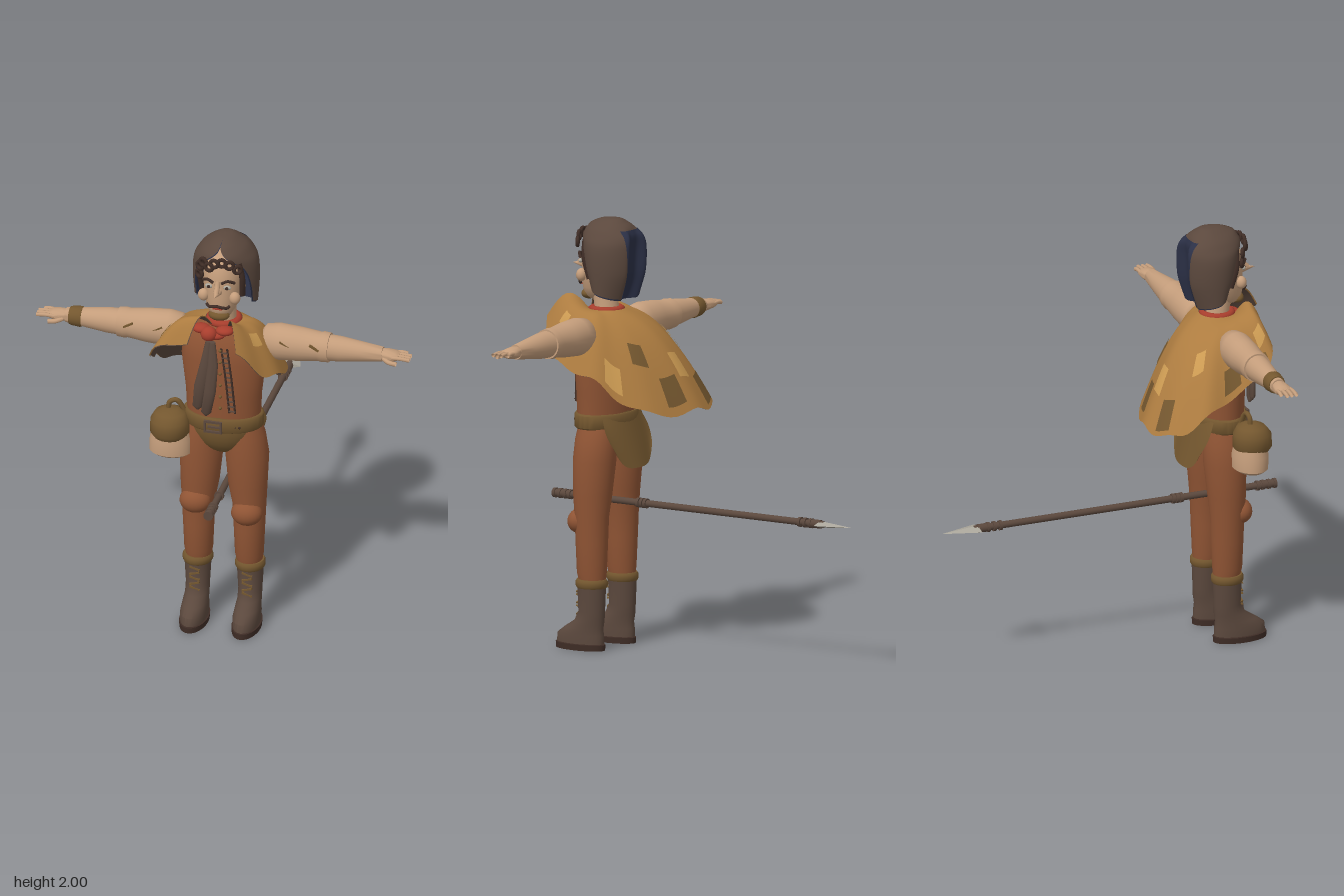
import * as THREE from 'three';
import { toCreasedNormals } from 'three/addons/utils/BufferGeometryUtils.js';

const V = (x, y, z) => new THREE.Vector3(x, y, z);
const mat = (name, color) => {
  const m = new THREE.MeshStandardMaterial({ color, side: THREE.DoubleSide });
  m.name = name;
  return m;
};

// Stack of elliptical rings [y, cx, cz, rx, rz], closed at both ends, listed upward
function loft(rings, seg = 24) {
  const f = rings[0], l = rings[rings.length - 1];
  const all = [[f[0], f[1], f[2], 0, 0], ...rings, [l[0], l[1], l[2], 0, 0]];
  const pos = [], idx = [];
  all.forEach(([y, cx, cz, rx, rz], i) => {
    for (let j = 0; j < seg; j++) {
      const a = (j / seg) * Math.PI * 2;
      pos.push(cx + rx * Math.cos(a), y, cz + rz * Math.sin(a));
      if (i === all.length - 1) continue;
      const p = i * seg + j, q = i * seg + ((j + 1) % seg);
      idx.push(p, p + seg, q, q, p + seg, q + seg);
    }
  });
  const g = new THREE.BufferGeometry();
  g.setAttribute('position', new THREE.Float32BufferAttribute(pos, 3));
  g.setIndex(idx);
  return toCreasedNormals(g, 0.8);
}

// Open sheet sampled from fn(u, v)
function sheet(fn, nu, nv, u0 = 0, u1 = 1, v0 = 0, v1 = 1) {
  const pos = [], idx = [];
  for (let j = 0; j <= nv; j++) for (let i = 0; i <= nu; i++) {
    pos.push(...fn(u0 + (u1 - u0) * i / nu, v0 + (v1 - v0) * j / nv).toArray());
    if (i < nu && j < nv) {
      const a = j * (nu + 1) + i, b = a + nu + 1;
      idx.push(a, a + 1, b, a + 1, b + 1, b);
    }
  }
  const g = new THREE.BufferGeometry();
  g.setAttribute('position', new THREE.Float32BufferAttribute(pos, 3));
  g.setIndex(idx);
  g.computeVertexNormals();
  return g;
}

export function createModel() {
  const root = new THREE.Group();
  const skin = mat('skin', 0xc49d7b), rust = mat('rust leather', 0x8f5434), dark = mat('dark brown', 0x5b483d),
    gold = mat('cape gold', 0xad7c40), light = mat('light patch', 0xcb9a52), olive = mat('olive brown', 0x74572f),
    red = mat('red cloth', 0xa83e2d), navy = mat('navy lining', 0x2b3046), steel = mat('steel', 0xaaa69b),
    hair = mat('hair', 0x3f2d26);
  const add = (name, geo, m, x = 0, y = 0, z = 0) => {
    const mesh = new THREE.Mesh(geo, m);
    mesh.name = name;
    mesh.position.set(x, y, z);
    root.add(mesh);
    return mesh;
  };
  const ball = (name, m, x, y, z, rx, ry = rx, rz = rx) =>
    add(name, new THREE.SphereGeometry(1, 24, 16), m, x, y, z).scale.set(rx, ry, rz);
  const box = (name, m, x, y, z, w, h, d) => add(name, new THREE.BoxGeometry(w, h, d), m, x, y, z);
  const tube = (name, m, pts, r) =>
    add(name, new THREE.TubeGeometry(new THREE.CatmullRomCurve3(pts.map(p => V(...p))), 20, r, 8), m);

  for (const s of [-1, 1]) {
    // Legs and boots
    add('leg', loft([[.3, .12, .535, .055, .06], [.36, .12, .54, .066, .07], [.5, .12, .54, .072, .076],
      [.62, .12, .54, .078, .08], [.72, .113, .54, .09, .09], [.88, .108, .533, .101, .1],
      [.98, .1, .53, .092, .098], [1.04, .09, .53, .08, .09]].map(r => [r[0], s * r[1], ...r.slice(2)])), rust);
    ball('kneePad', rust, s * .122, s > 0 ? .595 : .63, .597, .073, .06, .06);
    const bx = s * .124;
    add('boot', loft([[.03, bx, .6, .061, .125], [.07, bx, .598, .062, .122], [.1, bx, .58, .058, .1],
      [.135, bx, .55, .055, .075], [.18, bx, .538, .055, .064], [.3, bx, .538, .062, .068]]), dark);
    add('sole', loft([[0, bx, .6, .064, .13], [.027, bx, .6, .066, .131]]), hair);
    add('bootCuff', loft([[.29, bx, .538, .064, .07], [.3, bx, .538, .07, .076], [.32, bx, .538, .07, .076],
      [.33, bx, .538, .064, .07]]), olive);
    for (let i = 0; i < 5; i++)
      box('bootLace', olive, bx, .17 + i * .026, .602, .05, .008, .012).rotation.z = i % 2 ? .3 : -.3;

    // Arms, built upright then laid out sideways
    const limb = (name, m, rings) => {
      const mesh = add(name, loft(rings.map(([t, ry, rz]) => [t, 0, 0, ry, rz])), m, 0, 1.477, .53);
      mesh.rotation.z = -s * Math.PI / 2;
      return mesh;
    };
    limb('sleeve', skin, [[.185, .06, .055], [.2, .079, .07], [.26, .088, .079], [.36, .081, .075], [.45, .069, .067],
      [.47, .072, .07], [.5, .069, .067]]);
    limb('forearm', skin, [[.49, .062, .06], [.55, .06, .057], [.65, .047, .046], [.75, .034, .034]]);
    limb('palm', skin, [[.74, .027, .03], [.77, .028, .039], [.81, .022, .041], [.83, .012, .036]]);
    if (s < 0) limb('bracelet', olive, [[.672, .046, .045], [.68, .049, .048], [.72, .045, .044], [.732, .041, .04]]);
    for (let i = 0; i < 4; i++)
      tube('finger', skin, [[s * .8, 1.48, .5 + i * .021], [s * .84, 1.482, .498 + i * .022],
        [s * (i === 0 ? .86 : .883), 1.478, .497 + i * .022]], .0095);
    tube('thumb', skin, [[s * .76, 1.47, .56], [s * .79, 1.463, .578], [s * .825, 1.46, .582]], .011);
    for (const x of [.3, .44]) box('sleeveCrease', olive, s * x, 1.5, .598, .05, .007, .014).rotation.z = -s * .5;

    // Paired face parts
    ball('cheek', skin, s * .074, 1.73, .63, .026, .03, .024);
    ball('eye', steel, s * .043, 1.79, .65, .019, .011, .01);
    ball('pupil', hair, s * .043, 1.79, .658, .008, .008, .005);
    tube('eyebrow', hair, [[s * .02, 1.815, .664], [s * .045, 1.828, .66], [s * .075, 1.812, .636]], .007);
    ball('ear', skin, s * .092, 1.76, .56, .015, .032, .022);
    tube('moustache', hair, [[0, 1.698, .672], [s * .025, 1.693, .67], [s * .045, 1.687, .655], [s * .055, 1.696, .648]], .007);
    tube('sideburn', hair, [[s * .085, 1.9, .6], [s * .1, 1.82, .595], [s * .094, 1.72, .57]], .014);
  }

  // Trunk
  add('torso', loft([[1.07, 0, .54, .172, .112], [1.2, 0, .54, .178, .117], [1.38, 0, .54, .199, .12],
    [1.46, 0, .54, .19, .113], [1.53, 0, .54, .14, .09], [1.57, 0, .54, .07, .065]], 32), rust);
  ball('trunks', olive, 0, 1.045, .54, .163, .165, .122);
  add('belt', loft([[1.03, 0, .54, .18, .12], [1.037, 0, .54, .187, .125], [1.093, 0, .54, .187, .125],
    [1.1, 0, .54, .18, .12]], 32), olive);
  for (const [x, y, w, h] of [[-.02, 1.087, .08, .01], [-.02, 1.037, .08, .01], [-.058, 1.062, .01, .06],
    [.018, 1.062, .01, .06], [-.015, 1.062, .06, .008]]) box('buckle', dark, x, y, .668, w, h, .012);
  for (const x of [.06, .08, .1]) ball('beltHole', hair, x, 1.062, .647, .006);
  for (let i = 0; i < 6; i++) ball('button', olive, .012, 1.16 + i * .06, .658, .008);
  for (const d of [-.014, .014])
    tube('lacing', hair, [[.03 + d, 1.47, .655], [.052 + d, 1.32, .662], [.068 + d, 1.14, .655]], .005);
  for (let i = 0; i < 13; i++) box('laceRung', dark, .068 - i * .0029, 1.15 + i * .025, .659, .032, .005, .008);
  add('backFlap', sheet((u, v) => {
    const a = (u - .5) * 2, w = .15 + .02 * Math.sin(v * Math.PI);
    return V(a * w, 1.09 - v * (.24 - .09 * a * a * a * a), .425 - v * .07 + a * a * .035);
  }, 16, 8), olive);

  // Belt pouch
  add('pouch', loft([[.87, -.235, .605, .08, .06], [.885, -.235, .605, .1, .08], [.95, -.235, .605, .098, .083],
    [1.02, -.235, .605, .08, .065]]), skin);
  add('pouchFlap', loft([[.965, -.237, .615, .075, .075], [.99, -.237, .615, .092, .092], [1.05, -.237, .615, .09, .088],
    [1.085, -.237, .61, .07, .065], [1.1, -.237, .605, .035, .03]]), olive);
  tube('pouchStrap', olive, [[-.25, 1.08, .6], [-.24, 1.13, .6], [-.21, 1.14, .595], [-.17, 1.07, .58]], .012);

  // Neck, collar and scarf
  add('neck', loft([[1.53, 0, .535, .066, .062], [1.58, 0, .54, .058, .056], [1.67, 0, .55, .058, .058]]), skin);
  const collar = add('collar', new THREE.TorusGeometry(.066, .018, 10, 28), red, 0, 1.57, .54);
  collar.rotation.x = Math.PI / 2;
  ball('scarfKnot', red, -.045, 1.535, .645, .038, .036, .035);
  for (const [x, y] of [[-.085, 1.55], [.025, 1.55], [-.015, 1.525]]) ball('scarfFold', red, x, y, .625, .042, .022, .035);
  add('scarfTail', loft([[1.15, -.09, .675, .006, .005], [1.17, -.09, .677, .024, .012], [1.28, -.075, .683, .03, .014],
    [1.4, -.05, .685, .026, .014], [1.51, -.04, .67, .014, .012]], 14), dark);
  add('scarfTail', loft([[1.125, -.05, .68, .006, .005], [1.145, -.048, .684, .024, .013], [1.26, -.028, .69, .028, .014],
    [1.4, -.015, .69, .025, .014], [1.51, -.02, .675, .014, .012]], 14), dark);

  // Cape: sheet between the neckline and a lopsided hem
  const hem = new THREE.CatmullRomCurve3([[.12, 1.53, .79], [.22, 1.4, .72], [.28, 1.34, .6], [.28, 1.3, .45], [.22, 1.2, .33],
    [.1, 1.12, .2], [-.08, 1.12, .13], [-.22, 1.12, .125], [-.34, 1.13, .19], [-.385, 1.2, .3], [-.36, 1.28, .45],
    [-.34, 1.35, .6], [-.3, 1.44, .69], [-.13, 1.52, .72]].map(p => V(...p)));
  const cape = off => (u, v) => {
    const a = .45 + u * (Math.PI * 2 - .9);
    const p = V(.085 * Math.sin(a), 1.575, .54 + .085 * Math.cos(a)).lerp(hem.getPoint(u), v);
    p.y += .085 * Math.sin(Math.PI * v) + .012 * v * v * Math.sin(u * 55);
    return p.addScaledVector(p.clone().sub(V(0, 1.2, .5)).normalize(), off);
  };
  add('cape', sheet(cape(0), 72, 16), gold);
  add('capeLining', sheet(cape(-.007), 72, 16), dark);
  for (const [u, v, m] of [[.1, .6, light], [.2, .7, olive], [.3, .85, light], [.38, .6, olive], [.44, .85, olive],
    [.5, .7, light], [.57, .88, olive], [.66, .55, light], [.78, .85, olive], [.9, .7, light]])
    add('capePatch', sheet(cape(.005), 8, 6, u - .022, u + .022, v - .09, v + .09), m);

  // Head
  add('head', loft([[1.615, 0, .6, .025, .03], [1.63, 0, .59, .05, .06], [1.67, 0, .575, .072, .085], [1.73, 0, .56, .086, .1],
    [1.8, 0, .555, .091, .105], [1.87, 0, .55, .088, .1], [1.92, 0, .545, .065, .075], [1.94, 0, .54, .03, .035]], 28), skin);
  const nose = add('nose', new THREE.ConeGeometry(.025, .085, 14), skin, 0, 1.768, .686);
  nose.rotation.x = Math.PI / 2;
  tube('noseBridge', skin, [[0, 1.82, .655], [0, 1.795, .668], [0, 1.772, .69]], .013);
  ball('chinBeard', olive, 0, 1.635, .632, .05, .026, .035);
  box('mouth', red, 0, 1.68, .661, .045, .008, .008);
  for (const [x, y, z] of [[-.09, 1.88, .63], [-.07, 1.91, .65], [-.04, 1.895, .664], [-.015, 1.915, .665], [.02, 1.92, .66],
    [.055, 1.91, .655], [.09, 1.885, .64], [-.095, 1.835, .625]])
    add('curl', new THREE.TorusGeometry(.018, .009, 8, 16), hair, x, y, z).rotation.y = x * 6;

  // Hood: rows of y, half width, opening angle, back z, front z
  const rows = [[1.63, .148, 2, .4, .53], [1.75, .155, 2.1, .36, .56], [1.85, .152, 2.3, .354, .59],
    [1.92, .125, 2.75, .365, .635], [1.97, .078, 3.1, .42, .62], [1.995, .035, 3.14, .46, .56], [2, 0, 3.14, .5, .5]];
  const shape = new THREE.CatmullRomCurve3(rows.map(r => V(r[0], r[1], r[2])));
  const depth = new THREE.CatmullRomCurve3(rows.map(r => V(r[3], r[4], 0)));
  const hood = (scale, off) => (u, v) => {
    const s = shape.getPoint(v), d = depth.getPoint(v);
    const a = (u * 2 - 1) * s.z, c = Math.cos(a);
    let z = c > 0 ? .5 - (.5 - d.x) * c : .5 + (d.y - .5) * c / Math.cos(s.z);
    z += .05 * Math.exp(-((a / .36) ** 4)) * Math.max(0, 1 - (v / .62) ** 4) - off;
    return V(s.y * scale * Math.sin(a), s.x - (1 - scale) * .15 + .03 * (1 - v) ** 4 * (1 - c), .5 + (z - .5) * scale);
  };
  add('hood', sheet(hood(1, 0), 60, 30), dark);
  add('hoodLining', sheet(hood(.95, 0), 60, 30), navy);
  add('hoodBackPanel', sheet(hood(1, .004), 20, 20, .38, .62, 0, .6), navy);

  // Spear lying front to back
  const rod = (name, m, z, len, r) => {
    add(name, new THREE.CylinderGeometry(r, r, len, 16), m, 0, .685, z).rotation.x = Math.PI / 2;
  };
  rod('spearShaft', dark, .07, 1.48, .016);
  rod('spearButt', dark, .79, .08, .019);
  for (const z of [.825, .795, .765, .74, .63, .36, .34, .32, -.54, -.57, -.6]) rod('spearRing', dark, z, .014, .023);
  rod('spearSocket', dark, -.63, .05, .02);
  const tip = add('spearTip', toCreasedNormals(new THREE.ConeGeometry(.055, .18, 4), .1), steel, 0, .685, -.74);
  tip.rotation.x = -Math.PI / 2;
  tip.scale.z = .28;
  return root;
}
